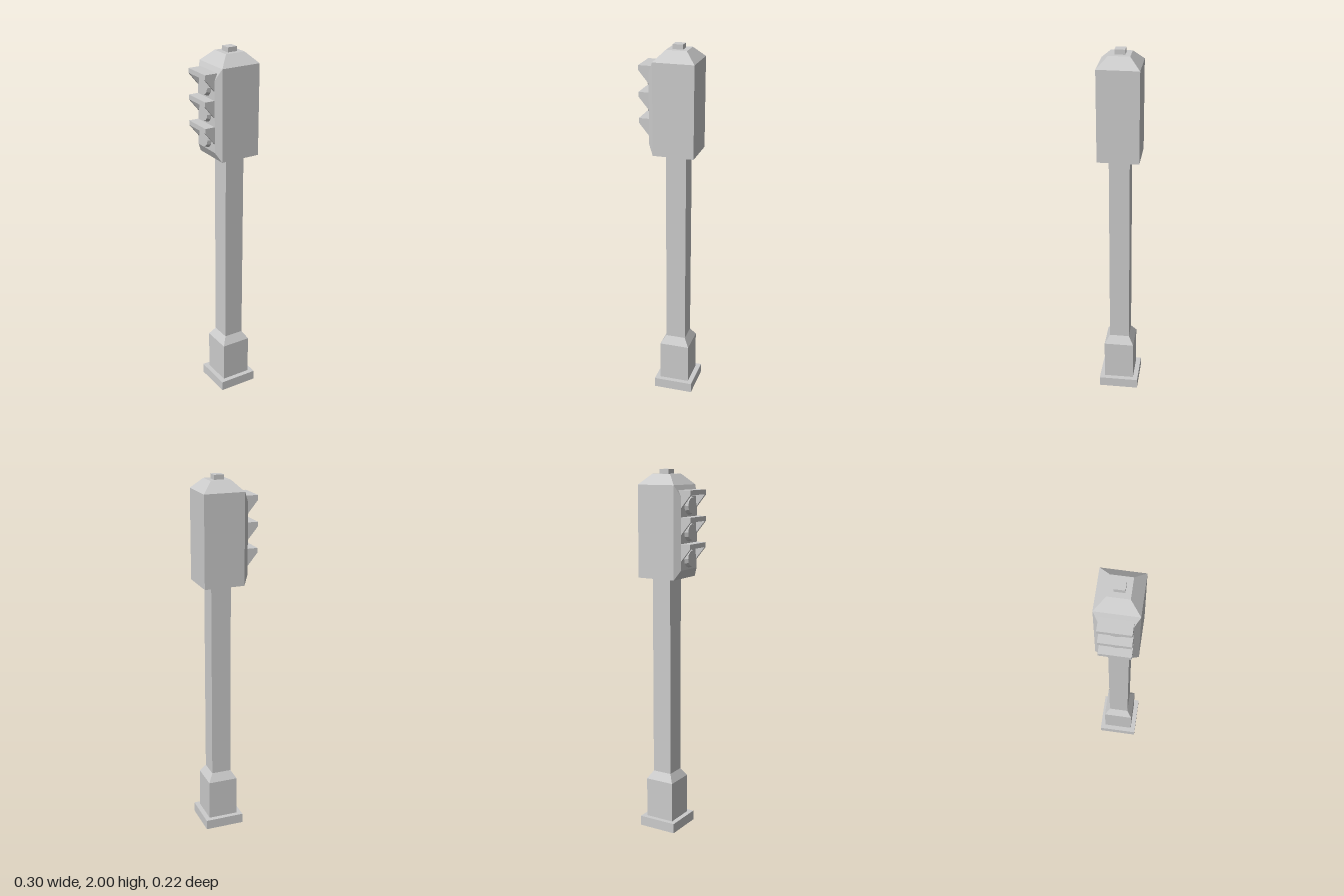
import * as THREE from 'three';

const grey = new THREE.MeshStandardMaterial({ color: 0xcccccc, flatShading: true });
const AXIS = 0.04; // pole centre in x

function add(parent, name, geometry) {
  const mesh = new THREE.Mesh(geometry, grey);
  mesh.name = name;
  parent.add(mesh);
  return mesh;
}

// Square block from y0 to y1 with half widths h0 (bottom) and h1 (top)
function block(parent, name, y0, y1, h0, h1 = h0) {
  const g = new THREE.BoxGeometry(2, y1 - y0, 2);
  const p = g.attributes.position;
  for (let i = 0; i < p.count; i++) {
    const h = p.getY(i) > 0 ? h1 : h0;
    p.setX(i, p.getX(i) * h);
    p.setZ(i, p.getZ(i) * h);
  }
  g.computeVertexNormals();
  const m = add(parent, name, g);
  m.position.set(AXIS, (y0 + y1) / 2, 0);
  return m;
}

// Bevelled panel that carries the lamps, tapering toward -x
function panelGeometry() {
  const g = new THREE.BoxGeometry(0.028, 0.49, 0.22);
  const p = g.attributes.position;
  for (let i = 0; i < p.count; i++) {
    if (p.getX(i) < 0) {
      p.setY(i, p.getY(i) > 0 ? 0.185 : -0.195);
      p.setZ(i, Math.sign(p.getZ(i)) * 0.082);
    }
  }
  g.computeVertexNormals();
  return g;
}

// Side cheek of a hood, drawn in x/y around the lamp centre
function cheekGeometry() {
  const shape = new THREE.Shape([
    [-0.153, 0.08], [-0.153, 0.055], [-0.095, -0.015], [-0.075, 0.08],
  ].map(([x, y]) => new THREE.Vector2(x, y)));
  return new THREE.ExtrudeGeometry(shape, { depth: 0.012, bevelEnabled: false });
}

export function createModel() {
  const model = new THREE.Group();
  model.name = 'trafficLight';

  // Foot and pole
  block(model, 'footPlate', 0, 0.055, 0.11);
  block(model, 'pedestal', 0.055, 0.28, 0.083);
  block(model, 'pedestalShoulder', 0.28, 0.325, 0.083, 0.055);
  block(model, 'pole', 0.325, 1.43, 0.055);

  // Signal housing
  block(model, 'housing', 1.43, 1.92, 0.11);
  block(model, 'housingRoof', 1.92, 1.975, 0.11, 0.055);
  block(model, 'roofCap', 1.975, 2, 0.027);
  add(model, 'lampPanel', panelGeometry()).position.set(-0.084, 1.675, 0);

  // Three lamps, each with a lens under a hood
  ['top', 'middle', 'bottom'].forEach((level, i) => {
    const lamp = new THREE.Group();
    lamp.name = level + 'Lamp';
    lamp.position.y = 1.815 - i * 0.138;

    const lens = add(lamp, 'lens', new THREE.CylinderGeometry(0.042, 0.054, 0.03, 12));
    lens.rotation.z = Math.PI / 2;
    lens.position.x = -0.103;

    add(lamp, 'hoodTop', new THREE.BoxGeometry(0.078, 0.025, 0.14)).position.set(-0.114, 0.0675, 0);
    add(lamp, 'hoodCheekLeft', cheekGeometry()).position.z = 0.07;
    add(lamp, 'hoodCheekRight', cheekGeometry()).position.z = -0.082;
    model.add(lamp);
  });

  return model;
}
